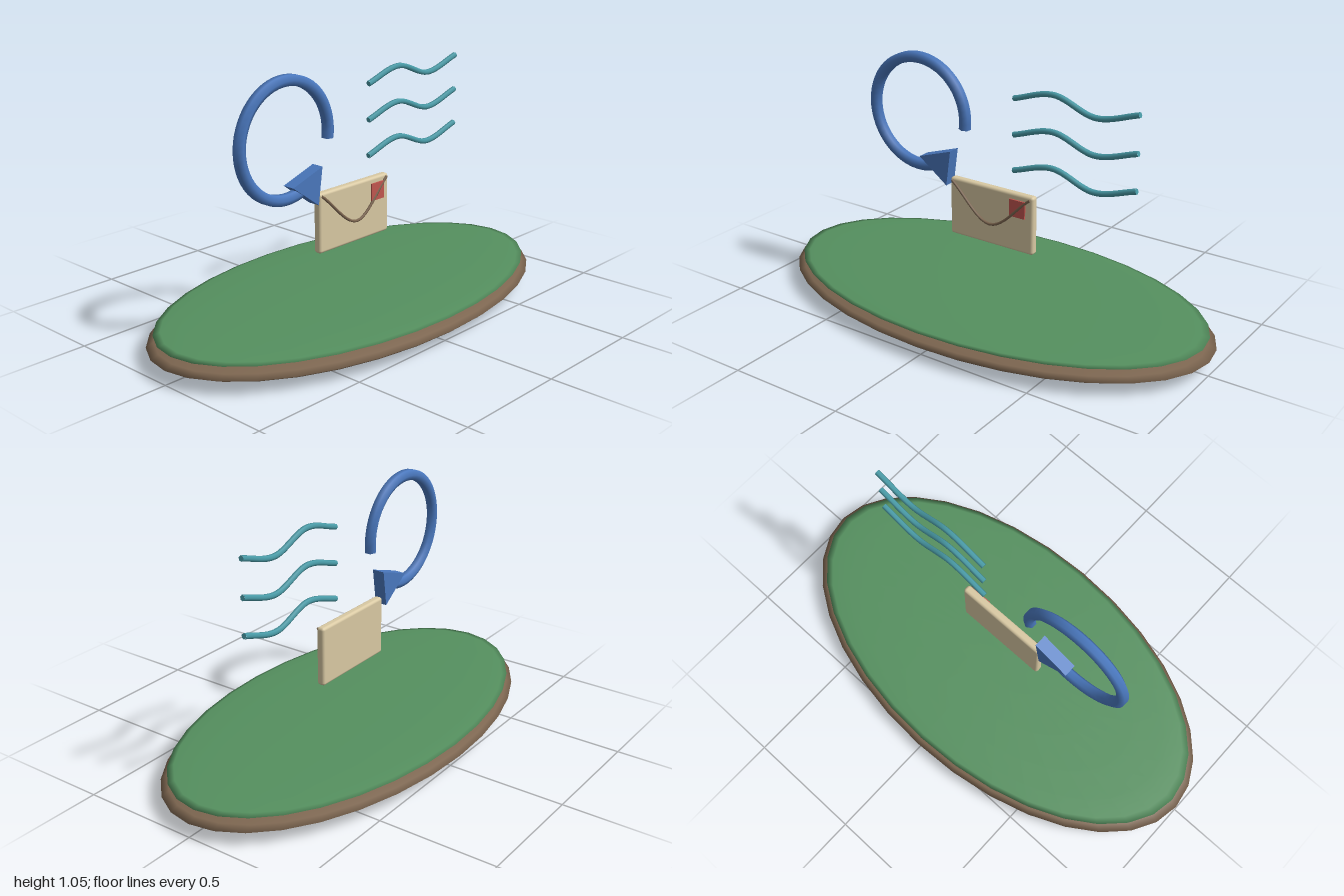
import * as THREE from 'three';
import { RoundedBoxGeometry } from 'three/addons/geometries/RoundedBoxGeometry.js';

const V = (x, y, z = 0) => new THREE.Vector3(x, y, z);

export function createModel() {
  const group = new THREE.Group();
  const mat = (color) => new THREE.MeshStandardMaterial({ color });
  const brown = mat(0x7d6650), green = mat(0x55905f), blue = mat(0x4a78be);
  const teal = mat(0x4a9ca8), cream = mat(0xd9c9a3), red = mat(0xc2564f);

  const add = (name, geometry, material, x = 0, y = 0, z = 0) => {
    const mesh = new THREE.Mesh(geometry, material);
    mesh.name = name;
    mesh.position.set(x, y, z);
    group.add(mesh);
    return mesh;
  };

  // Tube with flat discs closing both ends
  const cappedTube = (name, curve, segments, radius, sides, material) => {
    const tube = add(name, new THREE.TubeGeometry(curve, segments, radius, sides), material);
    for (const [t, sign] of [[0, -1], [1, 1]]) {
      const cap = new THREE.Mesh(new THREE.CircleGeometry(radius, sides), material);
      cap.name = name + 'End';
      cap.position.copy(curve.getPointAt(t));
      cap.quaternion.setFromUnitVectors(V(0, 0, 1), curve.getTangentAt(t).multiplyScalar(sign));
      tube.add(cap);
    }
  };

  // Oval island: flattened earth body with a thin grass layer on top
  const oval = (rx, ry, rz) => new THREE.SphereGeometry(1, 32, 12).scale(rx, ry, rz);
  add('earthBase', oval(1, 0.058, 0.542), brown, 0, 0.06);
  add('grassTop', oval(0.97, 0.018, 0.52), green, 0, 0.105);

  // Open ring, running from its free end round to the arrowhead
  const centre = V(-0.375, 0.8), ringRadius = 0.234, ringPoints = [];
  for (let i = 0; i <= 32; i++) {
    const a = THREE.MathUtils.degToRad(-8 + (308 * i) / 32);
    ringPoints.push(V(centre.x + ringRadius * Math.cos(a), centre.y + ringRadius * Math.sin(a)));
  }
  cappedTube('ring', new THREE.CatmullRomCurve3(ringPoints), 48, 0.025, 6, blue);

  // Flat triangular arrowhead
  const triangle = new THREE.Shape([
    new THREE.Vector2(-0.361, 0.612),
    new THREE.Vector2(-0.222, 0.511),
    new THREE.Vector2(-0.2, 0.666),
  ]);
  const head = new THREE.ExtrudeGeometry(triangle, { depth: 0.054, bevelEnabled: false });
  add('arrowHead', head, blue, 0, 0, -0.027);

  // Three wavy lines
  for (let i = 0; i < 3; i++) {
    const y = 0.945 - 0.151 * i;
    const wave = new THREE.CatmullRomCurve3([
      V(0.097, y), V(0.28, y + 0.047), V(0.47, y - 0.009), V(0.657, y + 0.039),
    ]);
    cappedTube('wave', wave, 32, 0.012, 6, teal);
  }

  // Envelope with flap line and stamp
  add('envelope', new RoundedBoxGeometry(0.412, 0.254, 0.036, 3, 0.012), cream, -0.002, 0.424, 0);
  const flap = new THREE.CatmullRomCurve3([
    V(-0.196, 0.539, 0.02), V(0, 0.392, 0.028), V(0.19, 0.539, 0.02),
  ]);
  cappedTube('flapLine', flap, 24, 0.006, 6, brown);
  add('stamp', new THREE.BoxGeometry(0.074, 0.074, 0.012), red, 0.131, 0.489, 0.019);

  return group;
}
